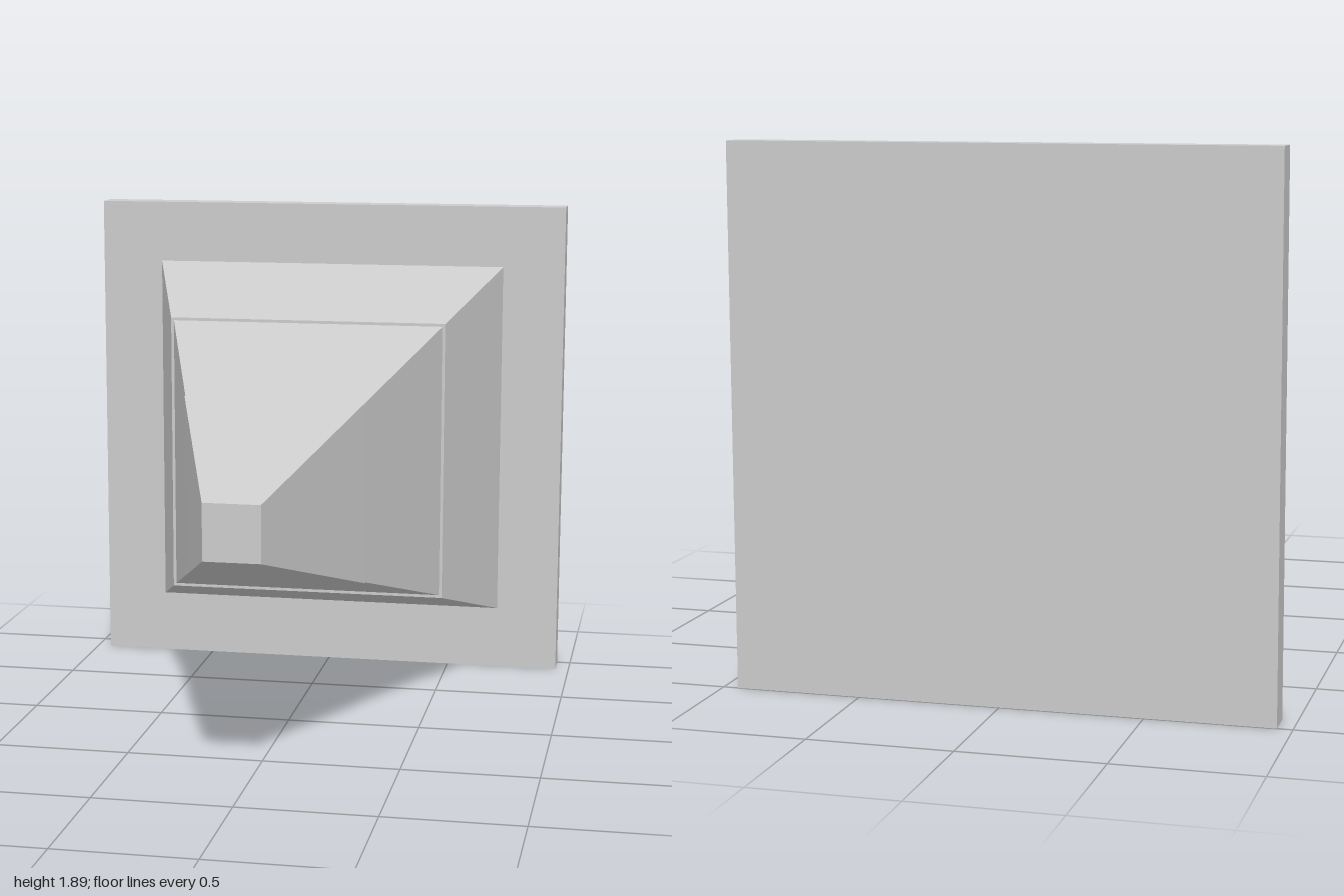
import * as THREE from 'three';

const CENTRE_Y = 0.947;

export function createModel() {
  const group = new THREE.Group();
  const material = new THREE.MeshStandardMaterial({ color: 0xcccccc, flatShading: true });

  // Square wall plate at the back
  const plate = new THREE.Mesh(new THREE.BoxGeometry(1.894, 1.894, 0.105), material);
  plate.name = 'backPlate';
  plate.position.set(0, CENTRE_Y, -0.9475);
  group.add(plate);

  // Square tapering section along z, given half widths at its back and front
  function addSection(name, zBack, zFront, halfBack, halfFront) {
    const geometry = new THREE.CylinderGeometry(
      halfFront * Math.SQRT2, halfBack * Math.SQRT2, zFront - zBack, 4, 1, false, Math.PI / 4);
    geometry.rotateX(Math.PI / 2);
    const mesh = new THREE.Mesh(geometry, material);
    mesh.name = name;
    mesh.position.set(0, CENTRE_Y + 0.003, (zBack + zFront) / 2);
    group.add(mesh);
  }

  // Three stacked sections with small steps at the joints
  addSection('baseSection', -0.895, -0.37, 0.703, 0.537);
  addSection('middleSection', -0.37, 0.264, 0.526, 0.329);
  addSection('tipSection', 0.264, 1, 0.333, 0.1);

  return group;
}
